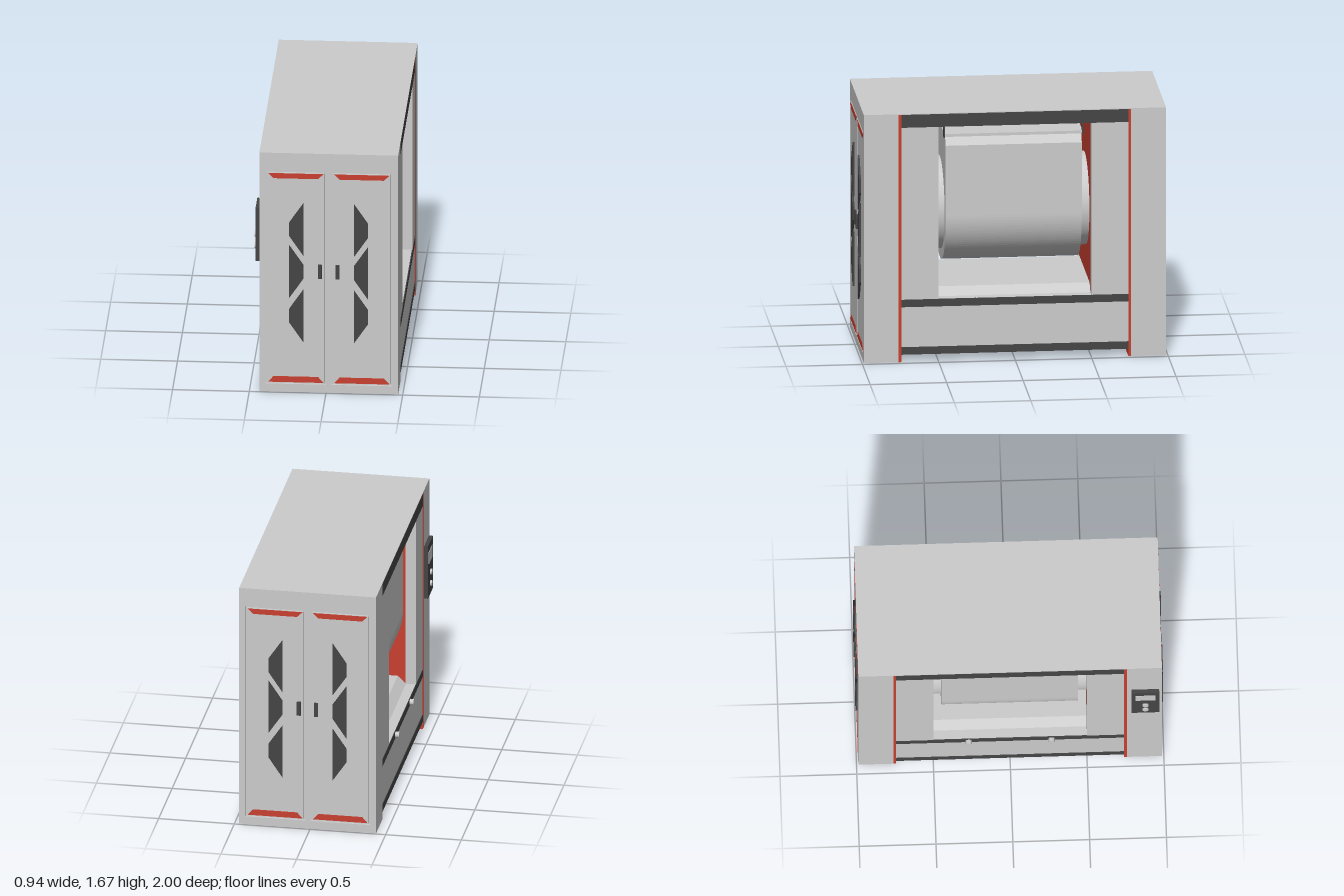
import * as THREE from 'three';

const mat = (color) => new THREE.MeshStandardMaterial({ color });
const grey = mat(0xcccccc);
const red = mat(0xc8402f);
const dark = mat(0x454545);

const W = 0.4525; // half width of the cabinet

function add(parent, name, geometry, material) {
  const mesh = new THREE.Mesh(geometry, material);
  mesh.name = name;
  parent.add(mesh);
  return mesh;
}

// Box given by its lower and upper limits on each axis
function box(parent, name, [x0, x1], [y0, y1], [z0, z1], material = grey) {
  const g = new THREE.BoxGeometry(x1 - x0, y1 - y0, z1 - z0);
  g.translate((x0 + x1) / 2, (y0 + y1) / 2, (z0 + z1) / 2);
  return add(parent, name, g, material);
}

// Outline in x and y, extruded from z0 to z1
function prism(parent, name, outline, z0, z1, material = grey) {
  const shape = Array.isArray(outline)
    ? new THREE.Shape(outline.map(([x, y]) => new THREE.Vector2(x, y)))
    : outline;
  const g = new THREE.ExtrudeGeometry(shape, { depth: z1 - z0, bevelEnabled: false, curveSegments: 32 });
  g.translate(0, 0, z0);
  return add(parent, name, g, material);
}

const rect = (x0, x1, y0, y1) => [[x0, y0], [x1, y0], [x1, y1], [x0, y1]];

// One end of the machine, facing +z
function createEnd() {
  const end = new THREE.Group();
  box(end, 'cabinet', [-W, W], [0, 1.67], [0.76, 0.972]);
  box(end, 'accentPlate', [-W, W], [0, 1.667], [0.742, 0.76], red);

  // Face frame with two door openings
  const frame = new THREE.Shape(rect(-W, W, 0, 1.67).map((p) => new THREE.Vector2(...p)));
  for (const s of [-1, 1]) {
    const hole = rect(s * 0.0175, s * 0.4125, 0.055, 1.545).map((p) => new THREE.Vector2(...p));
    frame.holes.push(new THREE.Path(hole));
  }
  prism(end, 'faceFrame', frame, 0.972, 0.988);

  for (const s of [-1, 1]) {
    const door = new THREE.Group();
    door.name = s < 0 ? 'rightDoor' : 'leftDoor';
    end.add(door);
    const mirrored = (pts) => pts.map(([x, y]) => [s * x, y]);
    prism(door, 'doorPanel', mirrored(rect(0.03, 0.4, 0.067, 1.533)), 0.97, 0.987);
    // Trim strips along the top and bottom of the door
    prism(door, 'topTrim', mirrored([[0.035, 1.53], [0.395, 1.53], [0.36, 1.495], [0.07, 1.495]]), 0.98, 0.99, red);
    prism(door, 'bottomTrim', mirrored([[0.035, 0.068], [0.395, 0.068], [0.36, 0.108], [0.07, 0.108]]), 0.98, 0.99, red);
    // Three interlocking vents, the middle one reversed
    [1.142, 0.845, 0.537].forEach((y, i) => {
      const [wide, narrow] = i === 1 ? [0.257, 0.165] : [0.165, 0.257];
      prism(door, 'vent', mirrored([
        [wide, y + 0.183], [wide, y - 0.183], [narrow, y - 0.047], [narrow, y + 0.047],
      ]), 0.98, 1, dark);
    });
    prism(door, 'doorHandle', mirrored(rect(0.045, 0.07, 0.8, 0.895)), 0.98, 1, dark);
  }

  // Inner bulkhead with pillars at its sides and a coloured lining
  box(end, 'bulkhead', [-0.385, 0.385], [0.42, 1.58], [0.51, 0.742]);
  box(end, 'innerLining', [-0.385, 0.385], [0.42, 1.58], [0.502, 0.51], red);
  for (const s of [-1, 1]) {
    const xs = s > 0 ? [0.382, 0.45] : [-0.45, -0.382];
    box(end, 'pillar', xs, [0.42, 1.58], [0.5, 0.742]);
  }
  return end;
}

// Short round knob pointing to -x
function knob(parent, name, x, y, z, length, radius) {
  const g = new THREE.CylinderGeometry(radius, radius, length, 24);
  g.rotateZ(Math.PI / 2);
  g.translate(x - length / 2, y, z);
  return add(parent, name, g, grey);
}

// Rounded trough between the two ends
function createDrum() {
  const drum = new THREE.Group();
  drum.name = 'drum';
  const cy = 0.955, r = 0.375;
  const shape = new THREE.Shape();
  shape.moveTo(-0.33, 1.483);
  shape.lineTo(-r, 1.43);
  shape.lineTo(-r, cy);
  shape.absarc(0, cy, r, Math.PI, Math.PI * 2, false);
  shape.lineTo(r, 1.43);
  shape.lineTo(0.33, 1.483);
  shape.closePath();
  prism(drum, 'trough', shape, -0.445, 0.445);

  const hub = new THREE.CylinderGeometry(0.305, 0.305, 1.006, 64);
  hub.rotateX(Math.PI / 2);
  hub.translate(0, cy, 0);
  add(drum, 'hub', hub, grey);

  box(drum, 'lid', [-0.35, 0.35], [1.483, 1.502], [-0.452, 0.452]);
  for (const sx of [-1, 1]) for (const sz of [-1, 1]) {
    const x = sx * 0.34, z = sz * 0.452;
    box(drum, 'lidCatch', [x - 0.02, x + 0.02], [1.48, 1.55], [z - 0.004, z + 0.004], dark);
  }
  return drum;
}

export function createModel() {
  const model = new THREE.Group();
  model.name = 'drumMachine';
  const body = new THREE.Group();
  body.name = 'body';
  body.position.x = 0.0175;
  model.add(body);

  const front = createEnd();
  front.name = 'frontEnd';
  const back = createEnd();
  back.name = 'backEnd';
  back.rotation.y = Math.PI;
  body.add(front, back);

  // Roof and base with dark bands along both sides
  const span = [-0.742, 0.742];
  box(body, 'roof', [-W + 0.006, W - 0.006], [1.58, 1.667], span);
  box(body, 'roofCap', [-W, W], [1.667, 1.672], [-0.988, 0.988]);
  box(body, 'base', [-W + 0.004, W - 0.004], [0.05, 0.42], span);
  for (const s of [-1, 1]) {
    const xs = s > 0 ? [W - 0.006, W] : [-W, -W + 0.006];
    box(body, 'roofBand', xs, [1.58, 1.667], span, dark);
    box(body, 'upperBaseBand', xs, [0.37, 0.42], span, dark);
    box(body, 'lowerBaseBand', xs, [0.05, 0.1], span, dark);
  }
  prism(body, 'tray', [[-0.385, 0.42], [0.385, 0.42], [0.33, 0.472], [-0.33, 0.472]], -0.5, 0.5);
  body.add(createDrum());

  // Control box and knobs on the right side
  const controls = new THREE.Group();
  controls.name = 'controls';
  body.add(controls);
  box(controls, 'controlBox', [-W - 0.026, -W], [0.905, 1.275], [0.79, 0.97], dark);
  box(controls, 'display', [-W - 0.029, -W - 0.02], [1.14, 1.225], [0.815, 0.945]);
  for (const y of [0.98, 1.06]) knob(controls, 'dial', -W - 0.02, y, 0.88, 0.018, 0.02);
  for (const z of [-0.27, 0.27]) knob(controls, 'baseKnob', -W, 0.395, z, 0.026, 0.02);
  return model;
}
